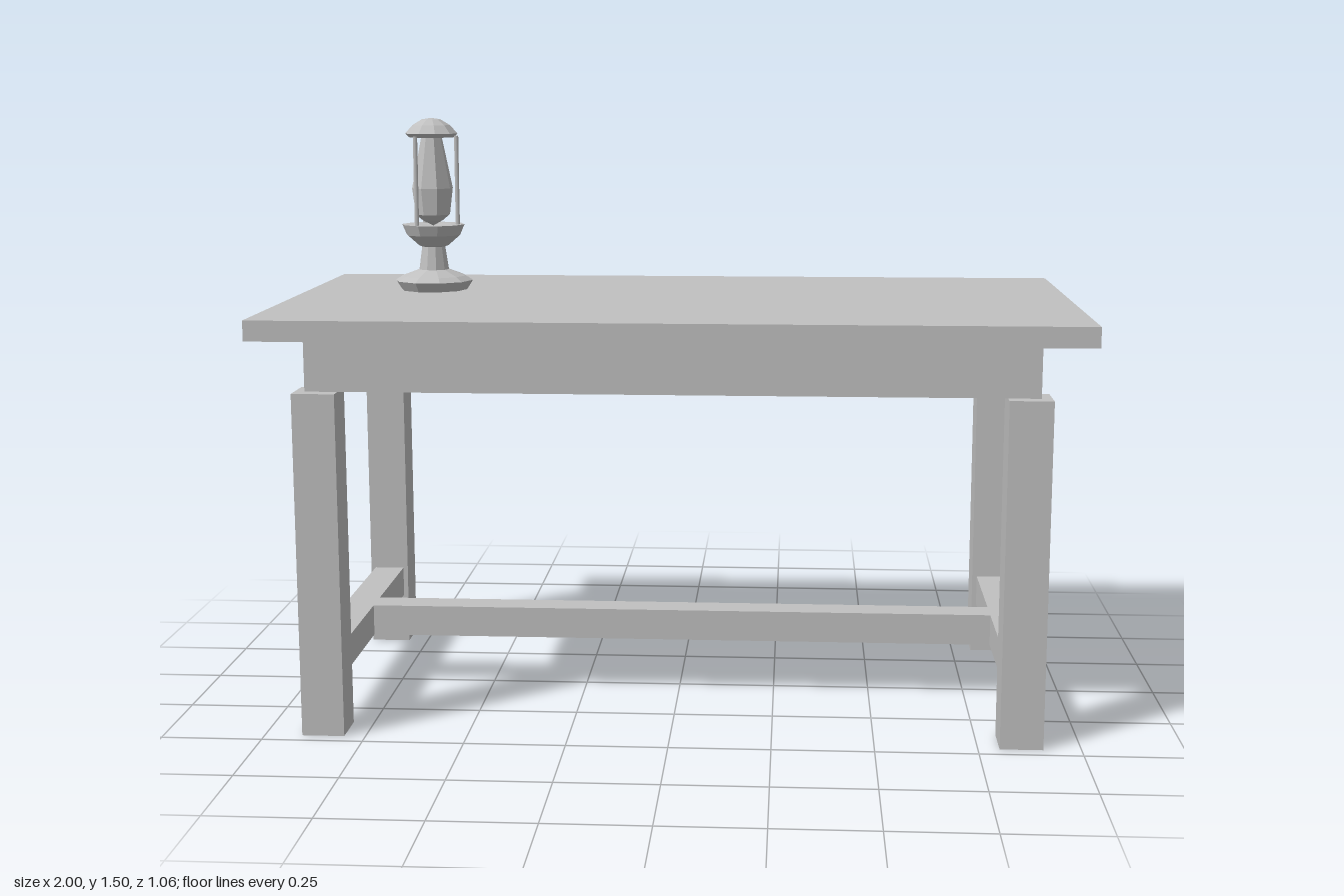
import * as THREE from 'three';

const gray = new THREE.MeshStandardMaterial({ color: 0xc0c0c0 });
gray.name = 'plain gray';

export function createModel() {
  const model = new THREE.Group();
  model.name = 'tableWithLantern';

  const add = (parent, name, geometry, x = 0, y = 0, z = 0) => {
    const mesh = new THREE.Mesh(geometry, gray);
    mesh.name = name;
    mesh.position.set(x, y, z);
    parent.add(mesh);
    return mesh;
  };
  // Box given by its size, centre x/z and bottom y
  const box = (name, w, h, d, x, y, z) =>
    add(model, name, new THREE.BoxGeometry(w, h, d), x, y + h / 2, z);

  // Table top and solid apron
  box('tableTop', 2, 0.05, 1.06, 0, 0.99, 0);
  box('apron', 1.76, 0.135, 0.88, 0, 0.857, 0);

  // Legs and H-shaped stretchers
  for (const sx of [-1, 1]) {
    for (const sz of [-1, 1]) box('leg', 0.105, 0.855, 0.105, sx * 0.855, 0, sz * 0.412);
    box('sideStretcher', 0.08, 0.08, 0.74, sx * 0.855, 0.135, 0);
  }
  box('longStretcher', 1.64, 0.08, 0.08, 0, 0.135, 0);

  // Lantern, built from faceted turned profiles of [radius, height]
  const lantern = new THREE.Group();
  lantern.name = 'lantern';
  lantern.position.set(-0.67, 1.04, -0.16);
  model.add(lantern);

  const turned = (name, sides, profile) => {
    const points = profile.map(([r, y]) => new THREE.Vector2(r, y));
    const geometry = new THREE.LatheGeometry(points, sides).toNonIndexed();
    geometry.computeVertexNormals();
    const mesh = add(lantern, name, geometry);
    mesh.rotation.y = Math.PI / sides;
  };
  turned('lanternBase', 10, [
    [0, 0], [0.088, 0], [0.104, 0.025], [0.085, 0.037], [0.04, 0.054],
    [0.031, 0.115], [0.04, 0.118], [0.072, 0.146], [0.084, 0.174], [0.05, 0.174], [0, 0.168],
  ]);
  turned('lanternGlass', 8, [
    [0, 0.17], [0.028, 0.185], [0.046, 0.2], [0.055, 0.27], [0.027, 0.408], [0, 0.408],
  ]);
  turned('lanternCap', 10, [
    [0, 0.404], [0.06, 0.404], [0.07, 0.414], [0.05, 0.436], [0.025, 0.451], [0, 0.455],
  ]);

  // Three upright rods between cup and cap
  for (let i = 0; i < 3; i++) {
    const a = (i * Math.PI * 2) / 3;
    add(lantern, 'lanternRod', new THREE.CylinderGeometry(0.006, 0.006, 0.24, 6),
      0.066 * Math.cos(a), 0.288, 0.066 * Math.sin(a));
  }
  return model;
}
